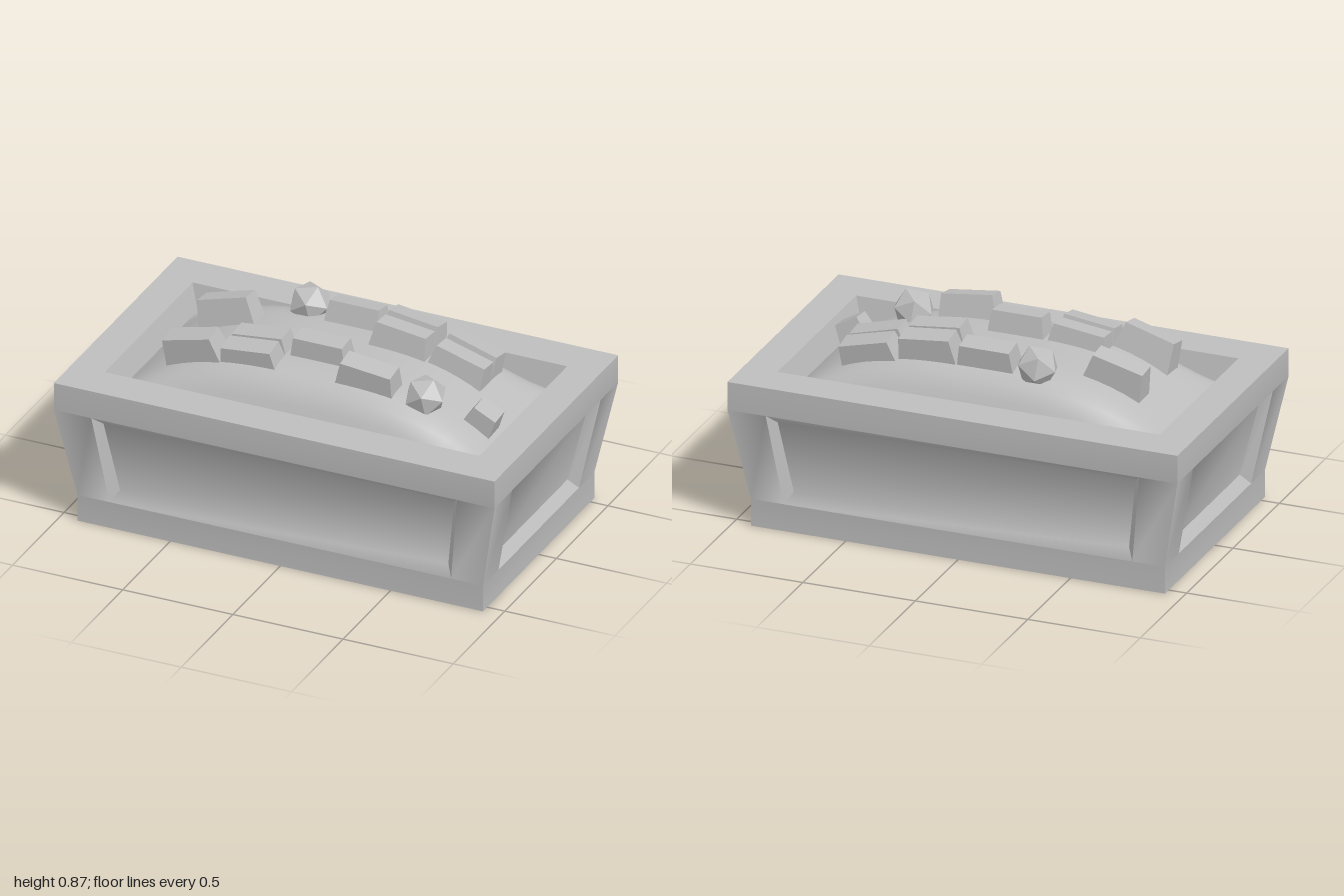
import * as THREE from 'three';
import { mergeGeometries, toCreasedNormals } from 'three/addons/utils/BufferGeometryUtils.js';

const stone = new THREE.MeshStandardMaterial({ color: 0xbdbdbd });
stone.name = 'grey stone';

function addMesh(parent, name, geometry) {
  const mesh = new THREE.Mesh(geometry, stone);
  mesh.name = name;
  parent.add(mesh);
  return mesh;
}

// One wall facing +z: banded frame, recessed panel, rim and inner lip.
// l = half length, d = distance from the centre, at each level.
function wall(l, d, holeTop, holeBottom, rim, lip) {
  const p = [];
  const quad = (a, b, c, e) => p.push(...a, ...b, ...c, ...a, ...c, ...e);
  // strip between a lower and an upper edge, each [half length, y, distance]
  const band = ([u0, y0, d0], [u1, y1, d1]) =>
    quad([-u0, y0, d0], [u0, y0, d0], [u1, y1, d1], [-u1, y1, d1]);
  const foot = [l - 0.08 * (l > 0.8 ? 1 : 0.75), 0, d - (d > 0.8 ? 0.08 : 0.06)];
  const low = [foot[0], 0.12, foot[2]];
  const high = [l, 0.53, d];
  const top = [l, 0.655, d];
  const hb = [holeBottom, 0.12, foot[2]], ht = [holeTop, 0.53, d];
  const pb = [holeBottom - 0.03, 0.165, foot[2] - 0.038], pt = [holeTop - 0.035, 0.49, d - 0.045];
  band(foot, low);
  band(high, top);
  band(hb, pb);
  band(pb, pt);
  band(pt, ht);
  const flip = ([u, y, z]) => [-u, y, z];
  // side posts and their bevels
  quad(hb, low, high, ht);
  quad(flip(low), flip(hb), flip(ht), flip(high));
  quad(pb, hb, ht, pt);
  quad(flip(hb), flip(pb), flip(pt), flip(ht));
  band(top, [rim[0], 0.655, rim[1]]);
  band([rim[0], 0.655, rim[1]], [lip[0], 0.54, lip[1]]);
  const g = new THREE.BufferGeometry();
  g.setAttribute('position', new THREE.Float32BufferAttribute(p, 3));
  return g;
}

function planterGeometry() {
  const long = () => wall(1, 0.6, 0.83, 0.775, [0.85, 0.425], [0.815, 0.4]);
  const short = () => wall(0.6, 1, 0.43, 0.39, [0.425, 0.85], [0.4, 0.815]);
  const sides = [long(), short(), long(), short()].map((g, i) => g.rotateY(i * Math.PI / 2));
  return toCreasedNormals(mergeGeometries(sides), 0.87);
}

// Height of the mound, flat on top and steep near the rim
const moundHeight = (x, z) => 0.54 + 0.23 *
  (1 - Math.min(1, Math.abs(x / 0.82)) ** 3) * (1 - Math.min(1, Math.abs(z / 0.41)) ** 6);

function moundGeometry() {
  const g = new THREE.PlaneGeometry(1.64, 0.82, 28, 18).rotateX(-Math.PI / 2);
  const pos = g.attributes.position;
  for (let i = 0; i < pos.count; i++) pos.setY(i, moundHeight(pos.getX(i), pos.getZ(i)));
  g.computeVertexNormals();
  return g;
}

// Box with a narrower top; its top face lies at y = 0
function brickGeometry(width) {
  const g = new THREE.BoxGeometry(width, 0.15, 0.115).translate(0, -0.075, 0);
  const pos = g.attributes.position;
  for (let i = 0; i < pos.count; i++) {
    if (pos.getY(i) < -0.01) continue;
    pos.setX(i, pos.getX(i) - Math.sign(pos.getX(i)) * 0.022);
    pos.setZ(i, pos.getZ(i) - Math.sign(pos.getZ(i)) * 0.012);
  }
  g.computeVertexNormals();
  return g;
}

export function createModel() {
  const model = new THREE.Group();
  model.name = 'planter';

  addMesh(model, 'planterBox', planterGeometry());
  addMesh(model, 'base', new THREE.PlaneGeometry(1.84, 1.08).rotateX(Math.PI / 2));
  addMesh(model, 'mound', moundGeometry());

  // Bricks stand in columns that follow the curve of the mound: x, top y, tilt, width
  const columns = [
    [-0.555, 0.815, 0.27, 0.27],
    [-0.285, 0.825, 0.12, 0.27],
    [-0.01, 0.855, 0, 0.265],
    [0.26, 0.855, -0.12, 0.27],
    [0.53, 0.79, -0.27, 0.27],
    [0.75, 0.695, -0.5, 0.15],
  ];
  const rows = [
    [-0.24, [2, 3, 4]],
    [-0.12, [0, 3, 4]],
    [0.115, [1, 2, 5]],
    [0.23, [0, 1, 3]],
  ];
  const bricks = new THREE.Group();
  bricks.name = 'bricks';
  model.add(bricks);
  for (const [z, used] of rows) {
    for (const c of used) {
      const [x, y, tilt, width] = columns[c];
      const brick = addMesh(bricks, 'brick', brickGeometry(width));
      brick.position.set(x, y - (Math.abs(z) > 0.2 ? 0.008 : 0), z);
      brick.rotation.set(z * 0.8, 0, tilt);
    }
  }

  // Two faceted pebbles
  for (const [x, y, z, r] of [[-0.235, 0.79, -0.25, 0.092], [0.5, 0.745, 0.2, 0.092]]) {
    const pebble = addMesh(model, 'pebble', new THREE.IcosahedronGeometry(r, 0));
    pebble.position.set(x, y, z);
    pebble.rotation.set(0.2, 0.3, 0.1);
  }
  return model;
}
